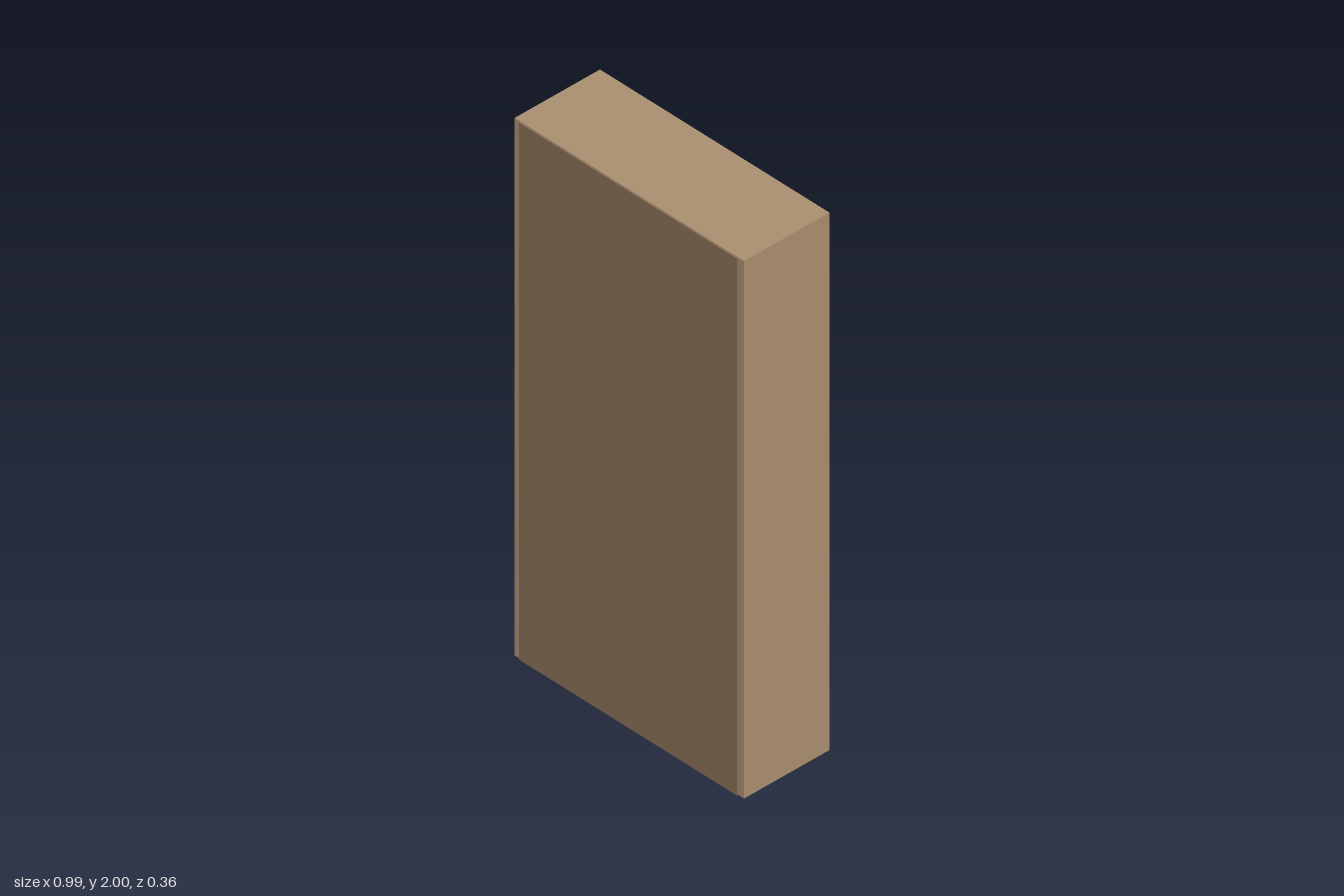
import * as THREE from 'three';

const material = (color) => new THREE.MeshStandardMaterial({ color });
const wood = material(0xac9070);
const panelWood = material(0x8b7058);

// Book styles: cover colour and height
const BOOKS = {
  r: { mat: material(0xb5656a), height: 0.23 },
  y: { mat: material(0xc9bb74), height: 0.315 },
  g: { mat: material(0x6c9c80), height: 0.295 },
  b: { mat: material(0x6c80b5), height: 0.265 },
};

// Box given by its minimum and maximum corners
function box(name, mat, [x0, y0, z0], [x1, y1, z1]) {
  const mesh = new THREE.Mesh(new THREE.BoxGeometry(x1 - x0, y1 - y0, z1 - z0), mat);
  mesh.name = name;
  mesh.position.set((x0 + x1) / 2, (y0 + y1) / 2, (z0 + z1) / 2);
  return mesh;
}

// Row of upright books running from +x towards -x
function bookRow(x, y, row) {
  const group = new THREE.Group();
  group.name = 'bookRow';
  for (const [key, width] of row) {
    const { mat, height } = BOOKS[key];
    group.add(box('book', mat, [x - width, y, -0.12], [x, y + height, 0.115]));
    x -= width + 0.0095;
  }
  return group;
}

export function createModel() {
  const model = new THREE.Group();
  model.name = 'bookcase';
  const back = -0.18, front = 0.173, halfBoard = 0.472;

  // Side boards
  model.add(box('leftSide', wood, [0.447, 0, back], [0.497, 2, front]));
  model.add(box('rightSide', wood, [-0.497, 0, back], [-0.447, 2, front]));

  // Top, bottom and shelves, let halfway into the sides
  const board = (name, y0, y1) =>
    model.add(box(name, wood, [-halfBoard, y0, back], [halfBoard, y1, front]));
  board('top', 1.95, 2);
  board('bottom', 0.003, 0.06);
  for (const y of [0.44, 0.82, 1.2, 1.58]) board('shelf', y - 0.025, y + 0.025);

  // Large closed panel on the front, open shelves face the other way
  model.add(box('closingPanel', panelWood, [-halfBoard, 0, 0.147], [halfBoard, 1.998, 0.178]));

  // Books, lowest shelf first
  model.add(bookRow(0.406, 0.06, [['b', 0.056], ['r', 0.095], ['y', 0.07], ['g', 0.052], ['b', 0.09],
    ['r', 0.075], ['y', 0.056], ['g', 0.095], ['b', 0.075], ['r', 0.055]]));
  model.add(bookRow(0.418, 0.465, [['y', 0.07], ['g', 0.052], ['b', 0.09], ['r', 0.075], ['y', 0.052],
    ['g', 0.09], ['b', 0.077], ['r', 0.052], ['y', 0.095], ['g', 0.07]]));
  model.add(bookRow(0.406, 0.845, [['g', 0.098], ['b', 0.077], ['r', 0.056], ['y', 0.098], ['g', 0.07]]));
  model.add(bookRow(-0.238, 0.845, [['b', 0.056], ['r', 0.098]]));
  model.add(bookRow(0.406, 1.225, [['r', 0.056], ['y', 0.092], ['g', 0.076], ['b', 0.056], ['r', 0.098],
    ['y', 0.072], ['g', 0.056], ['b', 0.092], ['r', 0.08], ['y', 0.05]]));

  return model;
}
